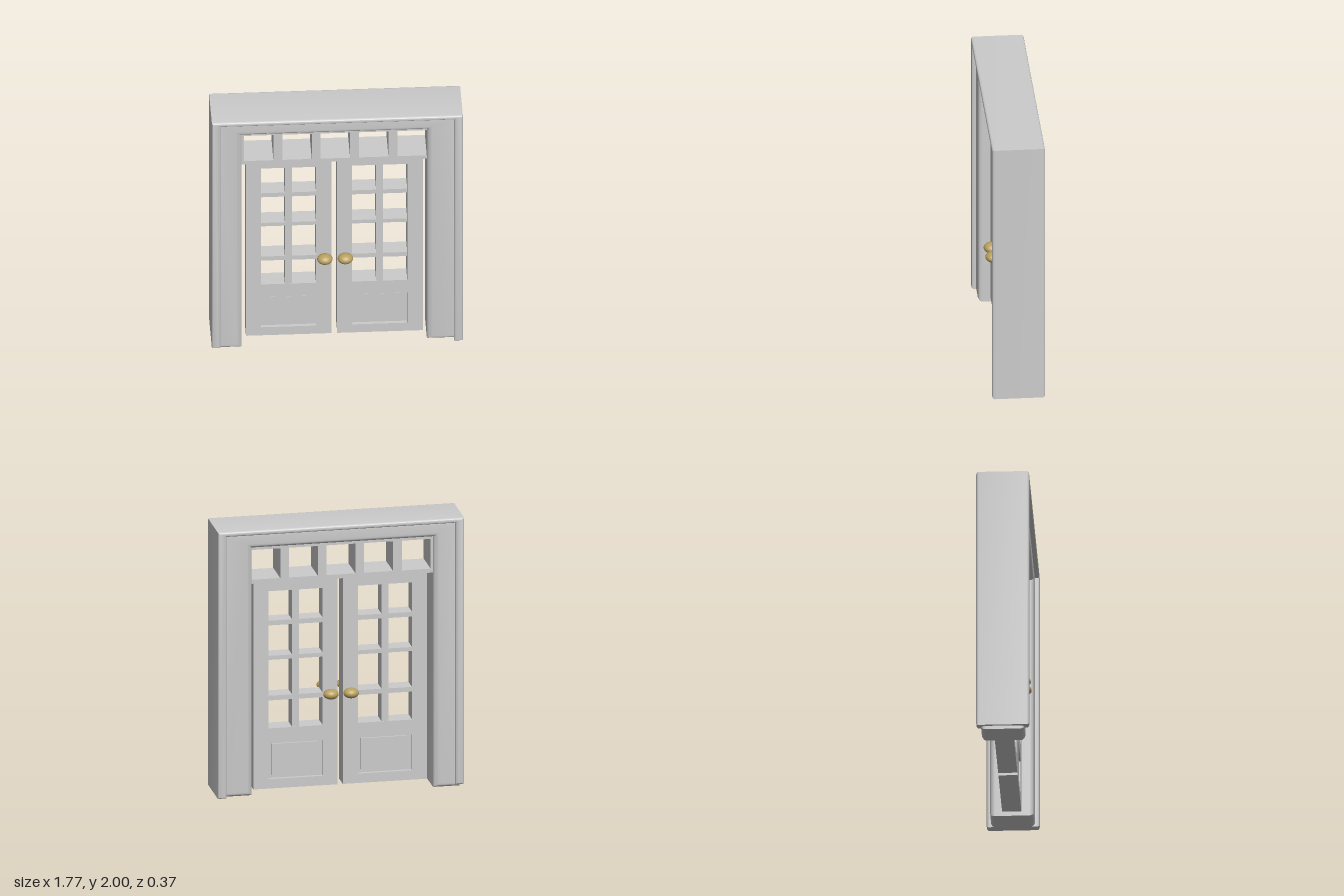
import * as THREE from 'three';
import { toCreasedNormals } from 'three/addons/utils/BufferGeometryUtils.js';

const grey = new THREE.MeshStandardMaterial({ color: 0xcccccc });
const brass = new THREE.MeshStandardMaterial({ color: 0xb8a060 });

function add(parent, name, geometry, material = grey) {
  const mesh = new THREE.Mesh(geometry, material);
  mesh.name = name;
  parent.add(mesh);
  return mesh;
}

// Extrude a shape about z = 0, optionally with rounded front and back edges
function slab(shape, halfDepth, radius = 0) {
  const geometry = new THREE.ExtrudeGeometry(shape, {
    depth: 2 * (halfDepth - radius),
    bevelEnabled: radius > 0,
    bevelThickness: radius,
    bevelSize: radius,
    bevelOffset: -radius,
    bevelSegments: 6,
  });
  geometry.translate(0, 0, radius - halfDepth);
  return radius > 0 ? toCreasedNormals(geometry, 0.6) : geometry;
}

function polygon(points) {
  return new THREE.Shape(points.map(([x, y]) => new THREE.Vector2(x, y)));
}

function rect(x0, x1, y0, y1) {
  return polygon([[x0, y0], [x1, y0], [x1, y1], [x0, y1]]);
}

function box(parent, name, x0, x1, y0, y1, halfDepth) {
  const geometry = new THREE.BoxGeometry(x1 - x0, y1 - y0, 2 * halfDepth);
  add(parent, name, geometry).position.set((x0 + x1) / 2, (y0 + y1) / 2, 0);
}

// Upside-down U: two posts joined by a head
function arch(xl, xr, il, ir, yl, yr, top, innerTop) {
  return polygon([[xl, yl], [il, yl], [il, innerTop], [ir, innerTop],
    [ir, yr], [xr, yr], [xr, top], [xl, top]]);
}

// Knob profile runs from the rose on the door face to the rounded tip
function knobGeometry() {
  const profile = [[0.02, 0], [0.018, 0.012]];
  for (let i = 1; i <= 14; i++) {
    const a = Math.PI * (0.1 + 0.9 * i / 14);
    profile.push([0.055 * Math.sin(a), 0.052 - 0.05 * Math.cos(a)]);
  }
  const points = profile.map(([r, h]) => new THREE.Vector2(Math.max(r, 0), h));
  return new THREE.LatheGeometry(points, 32).rotateX(Math.PI / 2).scale(1, 0.67, 1);
}

function createDoor(name, knobX) {
  const door = new THREE.Group();
  door.name = name;
  const half = 0.068;

  // Stiles and rails around the glazing and lower panel openings
  const leaf = rect(0, 0.605, 0.05, 1.58);
  leaf.holes.push(rect(0.105, 0.495, 0.495, 1.51), rect(0.105, 0.495, 0.12, 0.385));
  add(door, 'doorLeaf', slab(leaf, half));

  // Glazing bars
  box(door, 'verticalBar', 0.275, 0.325, 0.495, 1.51, half - 0.004);
  for (const [y0, y1] of [[0.7, 0.735], [1, 1.03], [1.255, 1.29]]) {
    box(door, 'horizontalBar', 0.105, 0.495, y0, y1, half - 0.005);
  }

  // Sunken panel with a raised field
  box(door, 'sunkenPanel', 0.105, 0.495, 0.12, 0.385, half - 0.025);
  box(door, 'raisedPanel', 0.14, 0.472, 0.145, 0.375, half - 0.012);

  // One knob on each face
  for (const side of [1, -1]) {
    const knob = add(door, 'knob', knobGeometry(), brass);
    knob.position.set(knobX, 0.735, side * (half - 0.005));
    if (side < 0) knob.rotation.y = Math.PI;
  }
  return door;
}

export function createModel() {
  const model = new THREE.Group();
  model.name = 'doubleDoor';

  // Deep outer frame
  add(model, 'outerFrame',
    slab(arch(-0.887, 0.887, -0.825, 0.825, 0.03, 0.03, 2, 1.965), 0.187, 0.017));

  // Rounded inner casing
  add(model, 'innerCasing',
    slab(arch(-0.868, 0.855, -0.673, 0.635, 0.005, 0.028, 1.985, 1.86), 0.155, 0.035));

  // Transom with five lights
  const transom = rect(-0.675, 0.64, 1.59, 1.875);
  for (let i = 0; i < 5; i++) {
    const x = -0.657 + i * 0.271;
    transom.holes.push(rect(x, x + 0.208, 1.62, 1.84));
  }
  add(model, 'transom', slab(transom, 0.122));

  // Pair of doors with knobs at the meeting edges
  const right = createDoor('rightDoor', 0.555);
  right.position.x = -0.64;
  const left = createDoor('leftDoor', 0.055);
  left.position.x = 0.005;
  model.add(right, left);
  return model;
}
